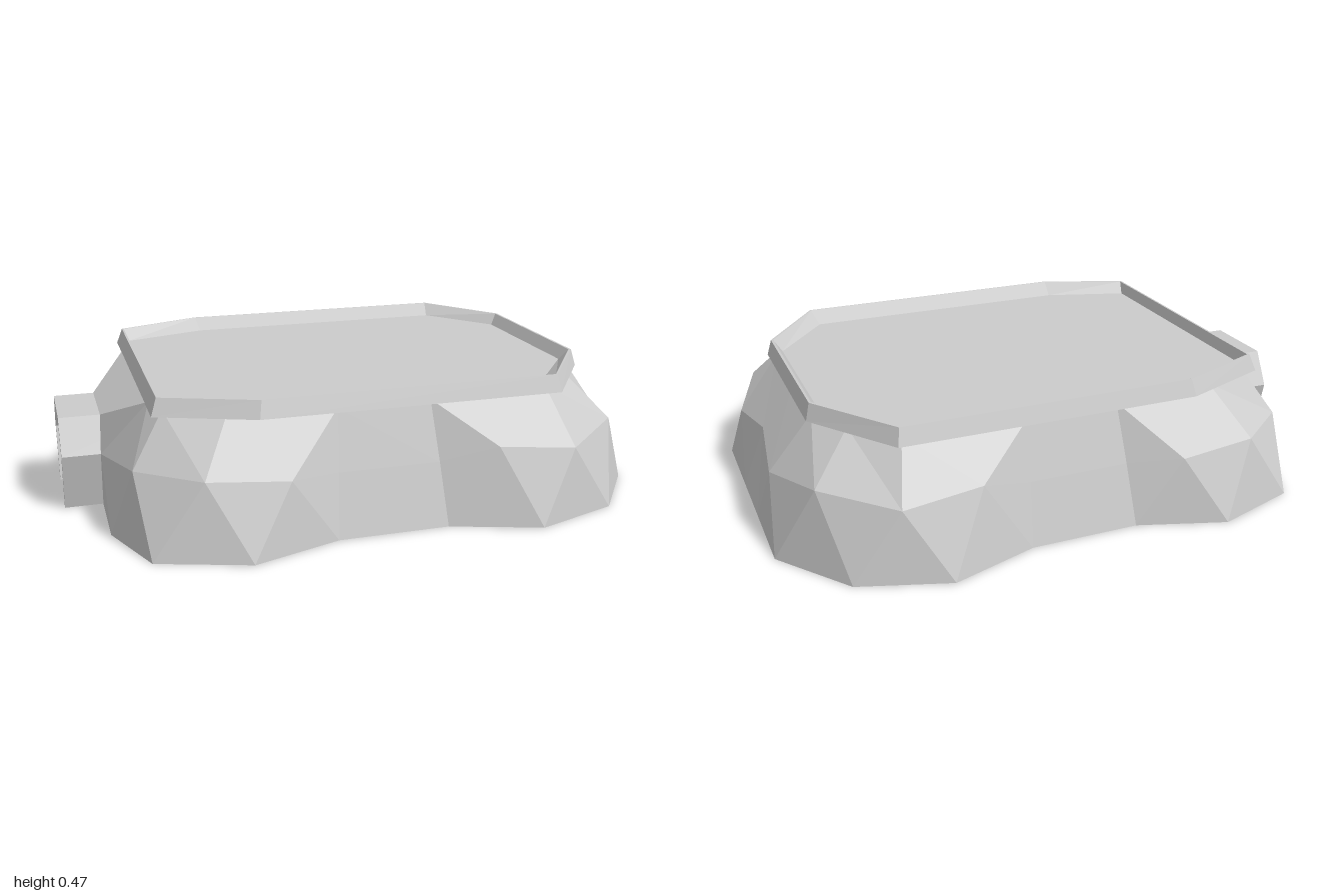
import * as THREE from 'three';

const material = new THREE.MeshStandardMaterial({ color: 0xcccccc, flatShading: true, side: THREE.DoubleSide });

function mesh(name, geometry) {
  const m = new THREE.Mesh(geometry, material);
  m.name = name;
  return m;
}

// Faceted geometry from a list of triangles, each three [x, y, z] corners
function facets(tris) {
  const g = new THREE.BufferGeometry();
  g.setAttribute('position', new THREE.Float32BufferAttribute(tris.flat(2), 3));
  g.computeVertexNormals();
  return g;
}

const quad = (a, b, c, d) => [[a, b, c], [a, c, d]];
const flip = ([x, y, z]) => [x, y, -z];

// Rocky mound: ground, middle and top lines, given for z >= 0 and mirrored
function createMound() {
  const ground = [
    [-0.87, 0.16], [-0.87, 0.43], [-0.77, 0.683], [-0.47, 0.783], [-0.17, 0.683], [0.21, 0.683],
    [0.21, 0.683], [0.51, 0.783], [0.81, 0.683], [1, 0.43], [1, 0.13],
  ].map(([x, z]) => [x, 0, z]);
  const middle = [
    [-0.87, 0.2, 0.2], [-0.8, 0.25, 0.53], [-0.6, 0.25, 0.69], [-0.33, 0.23, 0.705],
    [-0.155, 0.21, 0.625], [0.195, 0.21, 0.625], [0.38, 0.265, 0.69], [0.65, 0.24, 0.705],
    [0.875, 0.27, 0.53], [0.968, 0.23, 0.27], [0.935, 0.27, 0],
  ];
  const top = [
    [-0.72, 0.42, 0.36], [-0.69, 0.42, 0.46], [-0.5, 0.42, 0.555], [-0.14, 0.41, 0.565],
    [-0.14, 0.41, 0.565], [0.18, 0.41, 0.565], [0.18, 0.41, 0.565], [0.6, 0.42, 0.56],
    [0.74, 0.42, 0.435], [0.82, 0.42, 0.29], [0.82, 0.42, 0],
  ];
  const B = [...ground, ...ground.map(flip).reverse()];
  const M = [...middle, ...middle.slice(0, -1).map(flip).reverse()];
  const T = [...top, ...top.slice(0, -1).map(flip).reverse()];
  const tris = [];
  for (let i = 0; i < M.length; i++) {
    tris.push([B[i], B[i + 1], M[i]]);
    if (i === M.length - 1) break;
    tris.push([M[i], B[i + 1], M[i + 1]]);
    tris.push([M[i], M[i + 1], T[i]], [T[i], M[i + 1], T[i + 1]]);
  }
  // Slope joining the tunnel roof to the platform
  const p = [-0.86, 0.32, 0.135];
  const q = flip(p), m = middle[0], t = top[0];
  tris.push([p, m, t], [q, flip(t), flip(m)], ...quad(q, p, t, flip(t)));
  return mesh('mound', facets(tris));
}

// Eight-sided tray with a raised, sloping rim
function createPlatform() {
  const ring = (y, half) => [...half, ...half.map(([x, z]) => [x, -z]).reverse()].map(([x, z]) => [x, y, z]);
  const rings = [
    ring(0.42, [[-0.69, 0.46], [-0.39, 0.55], [0.59, 0.55], [0.8, 0.29]]),
    ring(0.412, [[-0.73, 0.5], [-0.41, 0.625], [0.63, 0.625], [0.845, 0.325]]),
    ring(0.47, [[-0.71, 0.485], [-0.4, 0.605], [0.62, 0.605], [0.83, 0.315]]),
    ring(0.47, [[-0.703, 0.48], [-0.4, 0.6], [0.617, 0.6], [0.822, 0.312]]),
    ring(0.43, [[-0.69, 0.44], [-0.39, 0.535], [0.6, 0.535], [0.795, 0.29]]),
  ];
  const tris = [];
  for (let r = 0; r < rings.length - 1; r++) {
    for (let i = 0; i < 8; i++) {
      const j = (i + 1) % 8;
      tris.push(...quad(rings[r][i], rings[r][j], rings[r + 1][j], rings[r + 1][i]));
    }
  }
  const floor = rings[4], under = rings[0];
  for (let i = 1; i < 7; i++) {
    tris.push([floor[0], floor[i], floor[i + 1]], [under[0], under[i + 1], under[i]]);
  }
  return mesh('platform', facets(tris));
}

const X0 = -0.6, X1 = 0.62, ZW = 0.49, ROOF = 0.4;
const arch = (foot, w, shoulder, top, flat) =>
  [[-foot, 0], [-w, shoulder], [-flat, top], [flat, top], [w, shoulder], [foot, 0]];
const outerArch = arch(0.155, 0.2, 0.2, 0.32, 0.135);
const innerArch = arch(0.125, 0.17, 0.195, 0.29, 0.118);
const shapeOf = (pts) => new THREE.Shape(pts.map(([x, y]) => new THREE.Vector2(x, y)));

// Thin-walled chamber inside the mound, open below
function createChamber() {
  const g = new THREE.Group();
  g.name = 'chamber';
  const corner = (x, y, z) => [x, y, z * ZW];
  const walls = [
    ...quad(corner(X1, 0, 1), corner(X0, 0, 1), corner(X0, ROOF, 1), corner(X1, ROOF, 1)),
    ...quad(corner(X0, 0, -1), corner(X1, 0, -1), corner(X1, ROOF, -1), corner(X0, ROOF, -1)),
    ...quad(corner(X1, 0, -1), corner(X1, 0, 1), corner(X1, ROOF, 1), corner(X1, ROOF, -1)),
    ...quad(corner(X0, ROOF, -1), corner(X1, ROOF, -1), corner(X1, ROOF, 1), corner(X0, ROOF, 1)),
  ];
  g.add(mesh('chamberWalls', facets(walls)));
  // End wall with the doorway cut out
  const end = shapeOf([[-ZW, 0], ...innerArch, [ZW, 0], [ZW, ROOF], [-ZW, ROOF]]);
  g.add(mesh('doorwayWall', new THREE.ShapeGeometry(end).rotateY(-Math.PI / 2).translate(X0, 0, 0)));
  return g;
}

// Faceted entrance tunnel, its sides leaning in towards the ground
function createTunnel() {
  const shape = shapeOf([...outerArch, ...innerArch.slice().reverse()]);
  const g = new THREE.ExtrudeGeometry(shape, { depth: 1 + X0, bevelEnabled: false });
  return mesh('entranceTunnel', g.rotateY(-Math.PI / 2).translate(X0, 0, 0));
}

export function createModel() {
  const model = new THREE.Group();
  model.name = 'moundShelter';
  model.add(createMound(), createPlatform(), createChamber(), createTunnel());
  return model;
}
